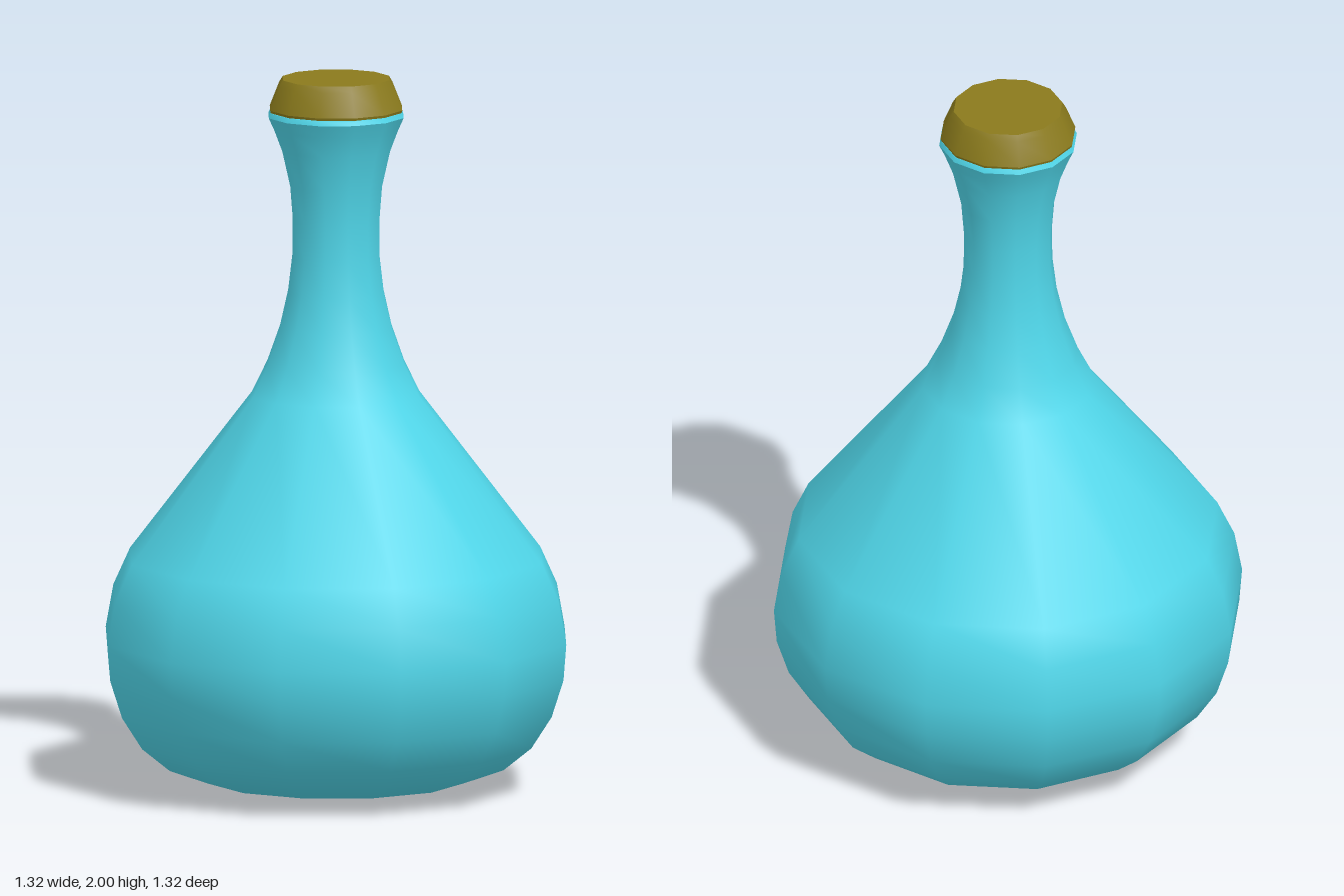
import * as THREE from 'three';
import { toCreasedNormals } from 'three/addons/utils/BufferGeometryUtils.js';

const SIDES = 12;

// Turns a list of [radius, height] pairs into a twelve-sided solid
function turned(name, profile, color, crease) {
  const points = profile.map(([r, y]) => new THREE.Vector2(r, y));
  let geometry = new THREE.LatheGeometry(points, SIDES);
  if (crease) geometry = toCreasedNormals(geometry, crease);
  const mesh = new THREE.Mesh(geometry, new THREE.MeshStandardMaterial({ color }));
  mesh.name = name;
  return mesh;
}

export function createModel() {
  const model = new THREE.Group();
  model.name = 'stopperedFlask';

  // Round belly, sloping shoulder, narrow neck and flared lip
  model.add(turned('flaskBody', [
    [0, 0], [0.23, 0.01], [0.37, 0.03], [0.48, 0.07], [0.56, 0.135],
    [0.618, 0.225], [0.652, 0.33], [0.66, 0.43], [0.638, 0.55], [0.59, 0.655],
    [0.24, 1.11], [0.196, 1.2], [0.16, 1.3], [0.137, 1.4], [0.125, 1.5],
    [0.124, 1.6], [0.132, 1.7], [0.155, 1.8], [0.178, 1.86], [0.194, 1.895],
  ], 0x4fd5e8));

  // Flat lip under the stopper
  model.add(turned('lip', [[0.194, 1.895], [0.188, 1.908], [0, 1.908]], 0x4fd5e8, 0.6));

  // Tapered stopper with a slightly bevelled top
  model.add(turned('stopper', [
    [0, 1.909], [0.188, 1.909], [0.19, 1.916], [0.163, 1.983], [0.153, 2], [0, 2],
  ], 0x8a7a1c, 0.6));

  return model;
}
